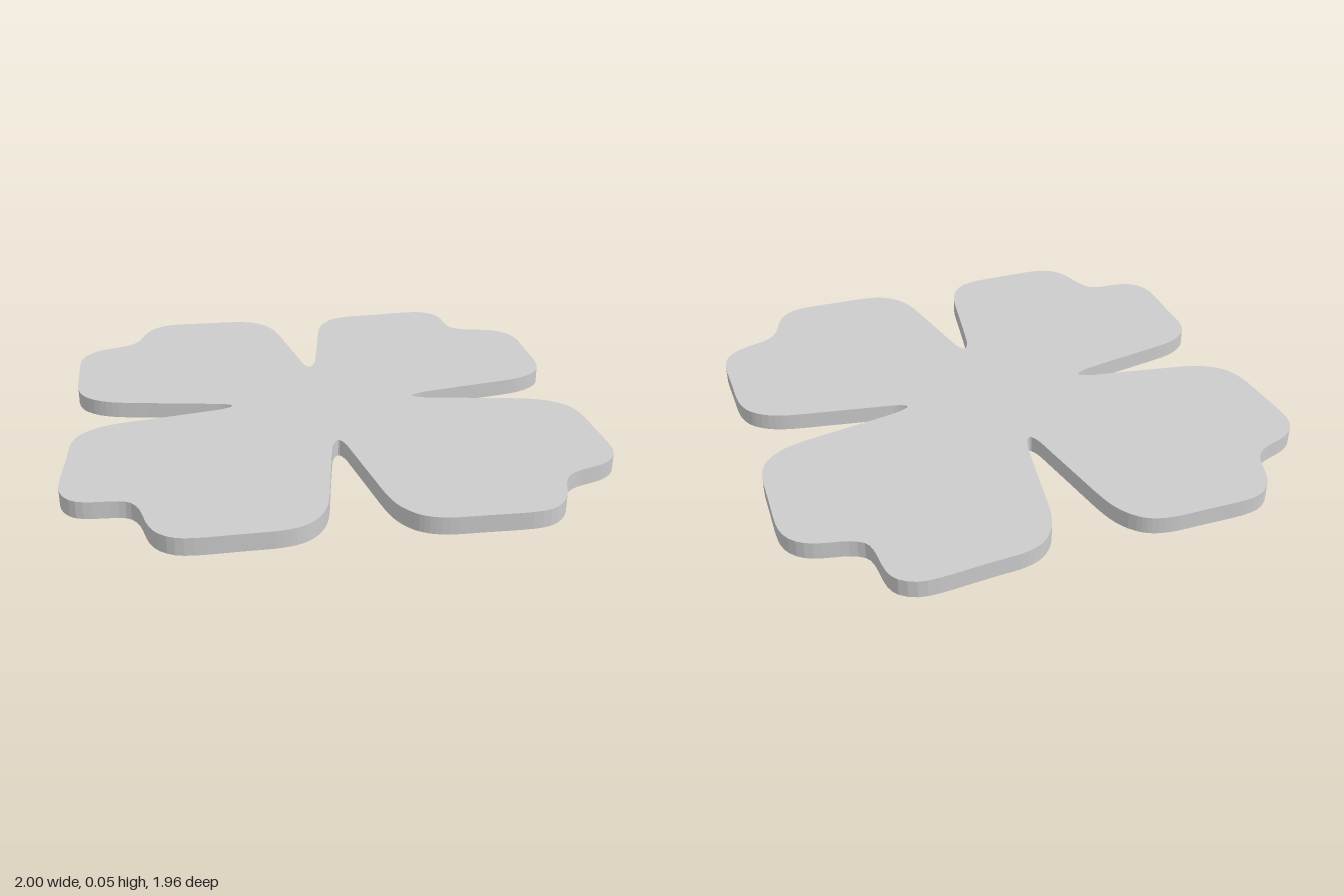
import * as THREE from 'three';

const THICKNESS = 0.055;

// Right half of the outline, as cubic curves: two control points, then the end
const START = [0, 0.925];
const HALF = [
  // top petal: notch to lobe, shoulder, side, flank
  [0.06, 0.925, 0.10, 0.98, 0.17, 0.98],
  [0.245, 0.98, 0.27, 0.93, 0.40, 0.80],
  [0.45, 0.75, 0.47, 0.71, 0.47, 0.67],
  [0.47, 0.60, 0.43, 0.55, 0.40, 0.505],
  [0.345, 0.427, 0.29, 0.348, 0.235, 0.27],
  // slit between petals
  [0.205, 0.22, 0.215, 0.21, 0.27, 0.238],
  // side petal, upper half (slightly longer lobe)
  [0.348, 0.29, 0.427, 0.345, 0.505, 0.40],
  [0.55, 0.43, 0.60, 0.47, 0.67, 0.47],
  [0.71, 0.47, 0.75, 0.45, 0.80, 0.40],
  [0.93, 0.28, 1.0, 0.25, 1.0, 0.17],
  [1.0, 0.11, 0.905, 0.06, 0.905, 0.013],
  // side petal, lower half
  [0.905, -0.05, 0.98, -0.10, 0.98, -0.17],
  [0.98, -0.245, 0.93, -0.27, 0.80, -0.40],
  [0.75, -0.45, 0.71, -0.47, 0.67, -0.47],
  [0.60, -0.47, 0.55, -0.43, 0.505, -0.40],
  [0.427, -0.345, 0.348, -0.29, 0.27, -0.238],
  [0.215, -0.21, 0.205, -0.22, 0.235, -0.27],
  // bottom petal
  [0.29, -0.348, 0.345, -0.427, 0.40, -0.505],
  [0.43, -0.55, 0.47, -0.60, 0.47, -0.67],
  [0.47, -0.71, 0.45, -0.75, 0.40, -0.80],
  [0.27, -0.93, 0.245, -0.98, 0.17, -0.98],
  [0.10, -0.98, 0.06, -0.925, 0, -0.925],
];

export function createModel() {
  const half = new THREE.Path();
  half.moveTo(...START);
  for (const c of HALF) half.bezierCurveTo(...c);

  // Mirror the half outline across x = 0
  const right = half.getPoints(8);
  const left = right.slice(1, -1).reverse().map(p => new THREE.Vector2(-p.x, p.y));
  const outline = new THREE.Shape([...right, ...left]);

  // Extrude and lay flat on the ground
  const geometry = new THREE.ExtrudeGeometry(outline, { depth: THICKNESS, bevelEnabled: false });
  geometry.rotateX(-Math.PI / 2);

  const petals = new THREE.Mesh(geometry, new THREE.MeshStandardMaterial({ color: 0xcccccc }));
  petals.name = 'fourPetalPlate';

  const group = new THREE.Group();
  group.name = 'flatFlower';
  group.add(petals);
  return group;
}
